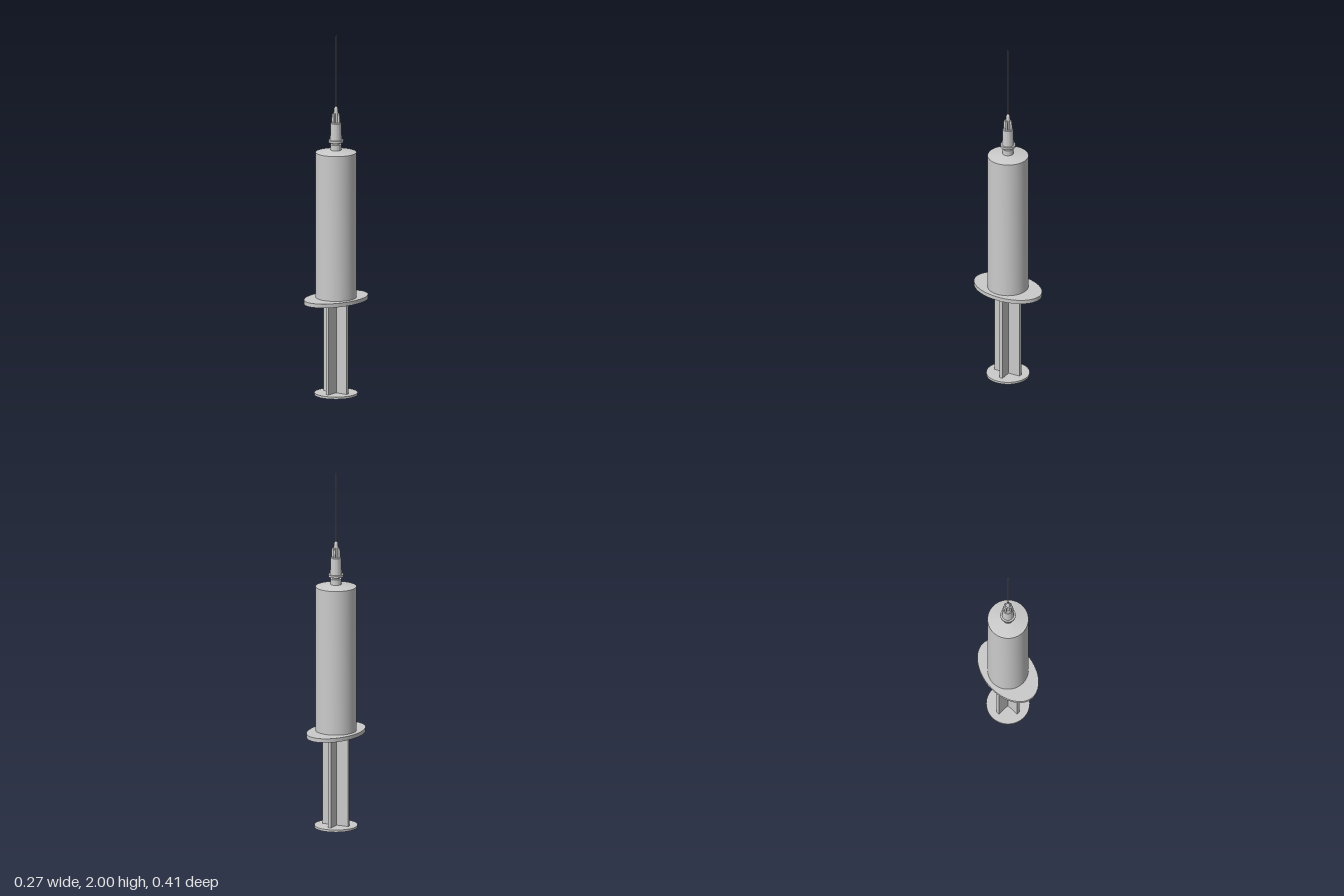
import * as THREE from 'three';
import { toCreasedNormals } from 'three/addons/utils/BufferGeometryUtils.js';

const material = new THREE.MeshStandardMaterial({ color: 0xcccccc });
const TILT = -0.115; // finger flange is turned slightly about the axis

export function createModel() {
  const group = new THREE.Group();

  const add = (name, geometry, parent = group) => {
    const mesh = new THREE.Mesh(geometry, material);
    mesh.name = name;
    parent.add(mesh);
    return mesh;
  };

  // Surface of revolution; points run [radius, y] with the outside going up
  const turned = (name, points, sides = 48) => add(name, toCreasedNormals(
    new THREE.LatheGeometry(points.map(([r, y]) => new THREE.Vector2(r, y)), sides), 0.5));

  // Thumb plate
  turned('thumbPlate', [[0, 0], [0.118, 0], [0.118, 0.012], [0, 0.012]]);

  // Cross-shaped plunger rod
  const w = 0.078, t = 0.009;
  const cross = new THREE.Shape([
    [w, -t], [w, t], [t, t], [t, w], [-t, w], [-t, t],
    [-w, t], [-w, -t], [-t, -t], [-t, -w], [t, -w], [t, -t],
  ].map(([x, y]) => new THREE.Vector2(x, y)));
  const rod = new THREE.ExtrudeGeometry(cross, { depth: 1.0, bevelEnabled: false });
  rod.rotateX(-Math.PI / 2);
  add('plungerRod', rod).position.y = 0.012;

  // Piston with two sealing ridges, inside the barrel
  turned('piston', [
    [0, 1.0], [0.098, 1.0], [0.098, 1.02], [0.09, 1.03], [0.09, 1.06],
    [0.098, 1.07], [0.098, 1.09], [0, 1.11],
  ]);

  // Hollow barrel with a shallow conical shoulder and a nozzle
  turned('barrel', [
    [0, 1.33], [0.099, 1.325], [0.099, 0.521], [0.111, 0.521], [0.111, 1.347],
    [0.03, 1.36], [0.03, 1.39], [0.02, 1.392], [0.02, 1.44], [0, 1.44],
  ], 64);

  // Oval finger flange with a hole for the plunger
  const oval = new THREE.Shape();
  oval.absellipse(0, 0, 0.136, 0.206, 0, Math.PI * 2);
  const hole = new THREE.Path();
  hole.absarc(0, 0, 0.099, 0, Math.PI * 2, true);
  oval.holes.push(hole);
  const flangeGeometry = new THREE.ExtrudeGeometry(oval, {
    depth: 0.022, bevelEnabled: false, curveSegments: 28,
  });
  flangeGeometry.rotateX(-Math.PI / 2);
  const flange = add('fingerFlange', toCreasedNormals(flangeGeometry, 0.5));
  flange.position.y = 0.52;
  flange.rotation.y = TILT;

  // Needle hub: collar, tapered body and slim core
  turned('needleHub', [
    [0.02, 1.403], [0.042, 1.403], [0.042, 1.415], [0.032, 1.415], [0.029, 1.508],
    [0.025, 1.512], [0.014, 1.512], [0.012, 1.58], [0.009, 1.594], [0.004, 1.6], [0, 1.6],
  ], 32);

  // Four tapering ribs around the hub core
  const ribShape = new THREE.Shape([
    [0.005, 1.505], [0.026, 1.505], [0.0235, 1.55], [0.02, 1.562], [0.005, 1.568],
  ].map(([x, y]) => new THREE.Vector2(x, y)));
  const ribGeometry = new THREE.ExtrudeGeometry(ribShape, { depth: 0.009, bevelEnabled: false });
  ribGeometry.translate(0, 0, -0.0045);
  const ribs = new THREE.Group();
  ribs.name = 'hubRibs';
  ribs.rotation.y = -TILT;
  for (let i = 0; i < 4; i++) {
    add('hubRib', ribGeometry, ribs).rotation.y = i * Math.PI / 2;
  }
  group.add(ribs);

  // Needle with a slanted tip
  const needle = new THREE.CylinderGeometry(0.004, 0.004, 0.41, 12);
  needle.translate(0, 1.795, 0);
  const p = needle.attributes.position;
  for (let i = 0; i < p.count; i++) {
    if (p.getY(i) > 1.9) p.setY(i, 1.985 + p.getX(i) * 3.75);
  }
  needle.computeVertexNormals();
  add('needle', needle);

  return group;
}
